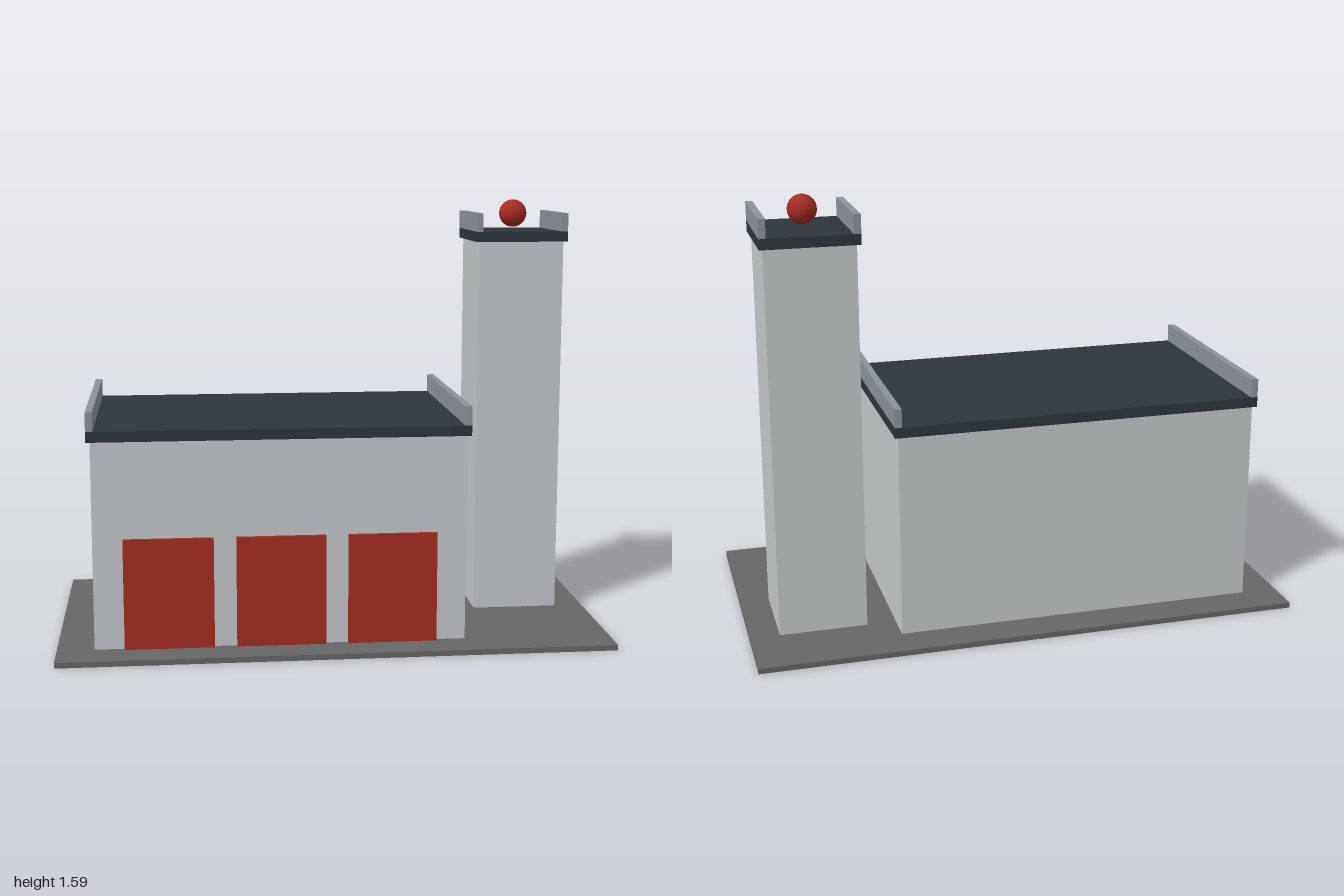
import * as THREE from 'three';

const material = (name, color) => {
  const m = new THREE.MeshStandardMaterial({ color });
  m.name = name;
  return m;
};

export function createModel() {
  const wall = material('pale grey wall', 0xc4c8ca);
  const roof = material('dark slate roof', 0x2d363c);
  const rail = material('grey parapet', 0x8a9299);
  const red = material('red', 0xa52b22);
  const paving = material('paving grey', 0x666666);

  const model = new THREE.Group();
  model.name = 'fireStation';

  // Box standing on height y, centred on x and z
  function addBox(parent, name, mat, [w, h, d], [x, y, z]) {
    const mesh = new THREE.Mesh(new THREE.BoxGeometry(w, h, d), mat);
    mesh.name = name;
    mesh.position.set(x, y + h / 2, z);
    parent.add(mesh);
  }

  // Walls, overhanging roof slab and a parapet along each side
  function addBlock(name, w, h, d, x, z) {
    const block = new THREE.Group();
    block.name = name;
    block.position.set(x, GROUND, z);
    const roofW = w + 0.027, roofD = d + 0.027, slab = 0.038, parapet = 0.025;
    addBox(block, 'walls', wall, [w, h, d], [0, 0, 0]);
    addBox(block, 'roofSlab', roof, [roofW, slab, roofD], [0, h, 0]);
    for (const side of [-1, 1]) {
      addBox(block, side < 0 ? 'rightParapet' : 'leftParapet', rail,
        [parapet, 0.068, roofD], [side * (roofW - parapet) / 2, h + slab, 0]);
    }
    model.add(block);
    return block;
  }

  // Ground slab
  const GROUND = 0.02;
  addBox(model, 'groundSlab', paving, [2, GROUND, 1.067], [0, 0, 0]);

  // Garage hall with three doors
  const hall = addBlock('hall', 1.333, 0.75, 0.8, -0.2, 0);
  for (const x of [-0.4, 0, 0.4]) {
    addBox(hall, 'garageDoor', red, [0.32, 0.4, 0.016], [x, 0, 0.407]);
  }

  // Watch tower with a beacon
  const tower = addBlock('tower', 0.32, 1.415, 0.32, 0.733, -0.133);
  const beacon = new THREE.Mesh(new THREE.SphereGeometry(0.052, 24, 16), red);
  beacon.name = 'beacon';
  beacon.position.y = 1.516;
  tower.add(beacon);

  return model;
}
